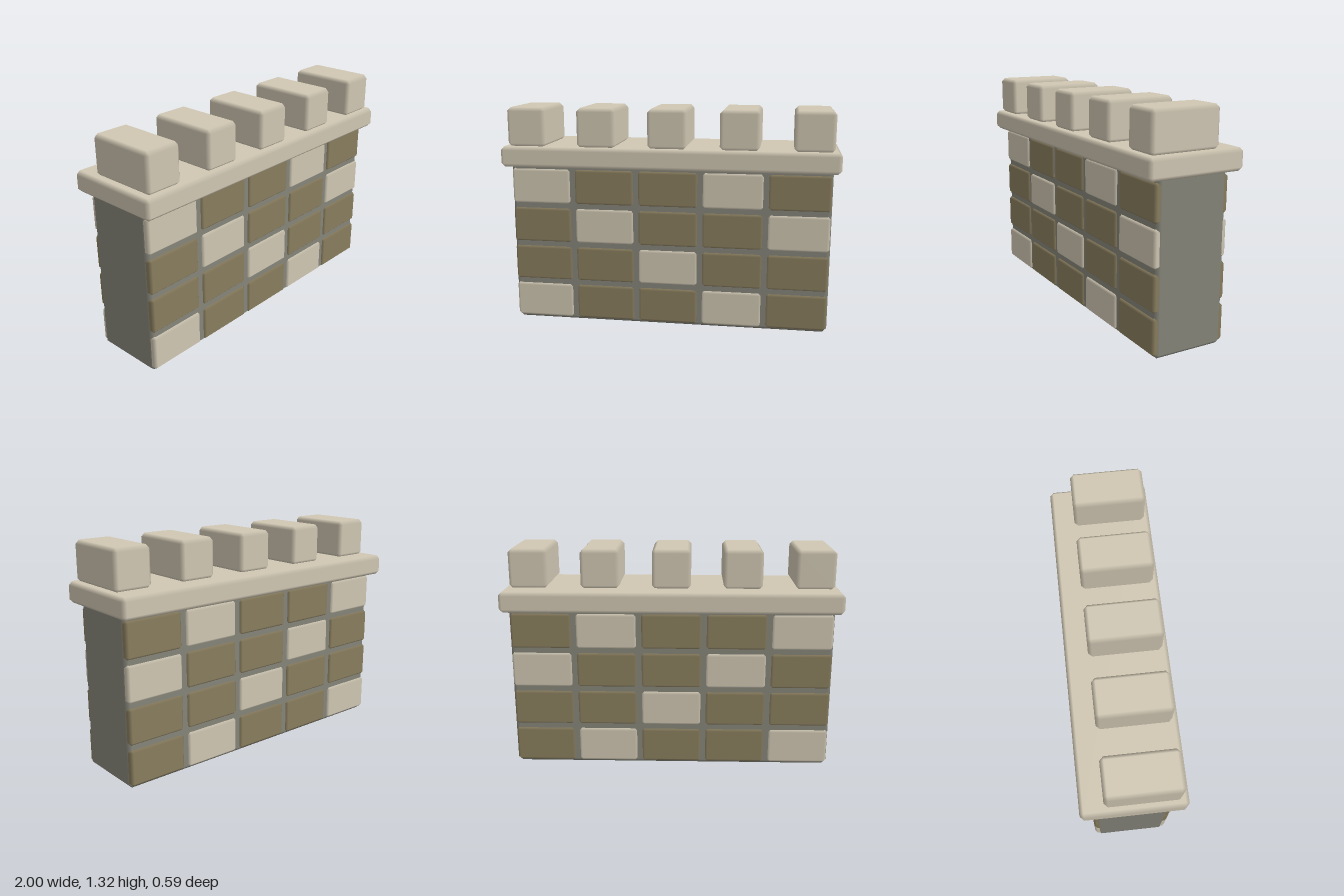
import * as THREE from 'three';
import { ConvexGeometry } from 'three/addons/geometries/ConvexGeometry.js';

const material = (name, color) => {
  const m = new THREE.MeshStandardMaterial({ color });
  m.name = name;
  return m;
};

// Box with one-step bevels, shaded smoothly from each flat face across the bevel
function bevelBox(w, h, d, b) {
  const half = [w / 2, h / 2, d / 2];
  const points = [];
  for (const sx of [-1, 1]) for (const sy of [-1, 1]) for (const sz of [-1, 1]) {
    for (let axis = 0; axis < 3; axis++) {
      const p = [sx, sy, sz].map((s, i) => s * (half[i] - (i === axis ? 0 : b)));
      points.push(new THREE.Vector3(...p));
    }
  }
  const geometry = new ConvexGeometry(points);
  const pos = geometry.attributes.position;
  const normal = geometry.attributes.normal;
  for (let i = 0; i < pos.count; i++) {
    const p = [pos.getX(i), pos.getY(i), pos.getZ(i)];
    const n = p.map((v, k) => (Math.abs(v) > half[k] - b / 2 ? Math.sign(v) : 0));
    normal.setXYZ(i, ...n);
  }
  return geometry;
}

export function createModel() {
  const lightStone = material('lightStone', 0xd0c7b3);
  const darkStone = material('darkStone', 0x897d5e);
  const mortar = material('mortar', 0x85857a);

  const wall = new THREE.Group();
  wall.name = 'battlementWall';
  const add = (name, geometry, mat, x, y, z, parent = wall) => {
    const mesh = new THREE.Mesh(geometry, mat);
    mesh.name = name;
    mesh.position.set(x, y, z);
    parent.add(mesh);
  };

  // Mortar core and overhanging ledge
  add('core', bevelBox(1.92, 0.99, 0.434, 0.025), mortar, 0, 0.495, 0);
  add('ledge', bevelBox(2, 0.123, 0.587, 0.022), lightStone, 0, 1.032, 0);

  // Bricks on both faces, top row first; L marks a light brick
  const rows = ['LDDLD', 'DLDDL', 'DDLDD', 'LDDLD'];
  const brick = bevelBox(0.36, 0.215, 0.06, 0.016);
  for (const side of [1, -1]) {
    const face = new THREE.Group();
    face.name = side > 0 ? 'frontBricks' : 'backBricks';
    wall.add(face);
    rows.forEach((row, r) => [...row].forEach((kind, c) => {
      const mat = kind === 'L' ? lightStone : darkStone;
      add('brick', brick, mat, (c - 2) * 0.387, 0.848 - r * 0.241, side * 0.2, face);
    }));
  }

  // Merlons, set toward the front of the ledge
  const merlon = bevelBox(0.23, 0.235, 0.422, 0.022);
  for (let i = -2; i <= 2; i++) add('merlon', merlon, lightStone, i * 0.423, 1.206, 0.05);

  return wall;
}
